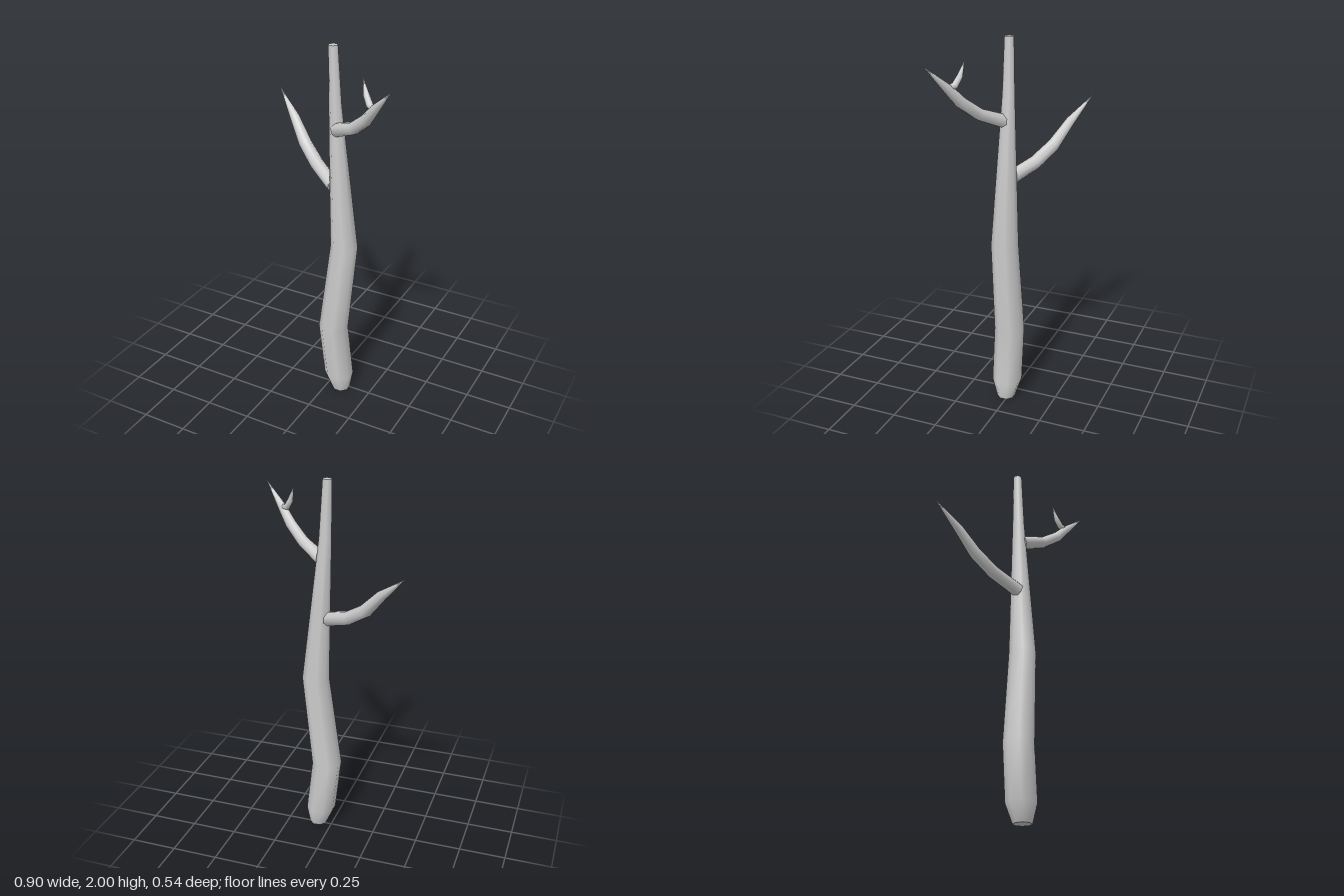
import * as THREE from 'three';

const SIDES = 8;
const SLOPE = 0.6; // both boughs lie in one vertical plane: z = SLOPE * x

// Lofts a closed skin through rings [x, y, z, radius]; level rings stay horizontal
function loft(name, rings, level, material) {
  const centres = rings.map(([x, y, z]) => new THREE.Vector3(x, y, z));
  const planeNormal = new THREE.Vector3(-SLOPE, 0, 1).normalize();
  const positions = [];
  const index = [];

  rings.forEach(([, , , radius], i) => {
    const before = centres[Math.max(i - 1, 0)];
    const after = centres[Math.min(i + 1, rings.length - 1)];
    const u = level ? new THREE.Vector3(0, 0, 1) : planeNormal;
    const t = level ? new THREE.Vector3(0, 1, 0) : after.clone().sub(before).normalize();
    const v = t.clone().cross(u);
    for (let s = 0; s < SIDES; s++) {
      const a = ((s + 0.5) / SIDES) * Math.PI * 2;
      const p = centres[i].clone()
        .addScaledVector(u, radius * Math.cos(a))
        .addScaledVector(v, radius * Math.sin(a));
      positions.push(p.x, p.y, p.z);
    }
  });

  for (let i = 0; i < rings.length - 1; i++) {
    for (let s = 0; s < SIDES; s++) {
      const a = i * SIDES + s;
      const b = i * SIDES + ((s + 1) % SIDES);
      index.push(a, b, b + SIDES, a, b + SIDES, a + SIDES);
    }
  }

  // Flat end caps on their own vertices
  for (const end of [0, rings.length - 1]) {
    const base = positions.length / 3;
    positions.push(...positions.slice(end * SIDES * 3, (end + 1) * SIDES * 3));
    for (let s = 1; s < SIDES - 1; s++) {
      if (end === 0) index.push(base, base + s + 1, base + s);
      else index.push(base, base + s, base + s + 1);
    }
  }

  const geometry = new THREE.BufferGeometry();
  geometry.setAttribute('position', new THREE.Float32BufferAttribute(positions, 3));
  geometry.setIndex(index);
  geometry.computeVertexNormals();
  const mesh = new THREE.Mesh(geometry, material);
  mesh.name = name;
  return mesh;
}

export function createModel() {
  const group = new THREE.Group();
  group.name = 'bareTree';
  const material = new THREE.MeshStandardMaterial({ color: 0xcccccc });

  // Crooked trunk: x, y, half width across flats
  const trunk = [
    [0.08, 0, 0.046],
    [0.065, 0.1, 0.075],
    [0.03, 0.4, 0.075],
    [0.092, 0.92, 0.067],
    [0.037, 1.7, 0.03],
    [0.025, 2, 0.022],
  ].map(([x, y, half]) => [x, y, 0.015, half / Math.cos(Math.PI / SIDES)]);
  group.add(loft('trunk', trunk, true, material));

  // Boughs and twig: x, y, radius along each path
  const limbs = {
    rightBranch: [
      [0.03, 1.265, 0.038], [-0.117, 1.323, 0.037], [-0.222, 1.397, 0.035],
      [-0.318, 1.508, 0.026], [-0.451, 1.63, 0.001],
    ],
    leftBranch: [
      [0.055, 1.578, 0.037], [0.185, 1.636, 0.032], [0.275, 1.71, 0.03],
      [0.334, 1.783, 0.024], [0.449, 1.907, 0.001],
    ],
    twig: [
      [0.335, 1.787, 0.016], [0.303, 1.796, 0.018], [0.278, 1.835, 0.016],
      [0.252, 1.912, 0.001],
    ],
  };
  for (const [name, path] of Object.entries(limbs)) {
    const rings = path.map(([x, y, r]) => [x, y, SLOPE * x - 0.002, r]);
    group.add(loft(name, rings, false, material));
  }
  return group;
}
